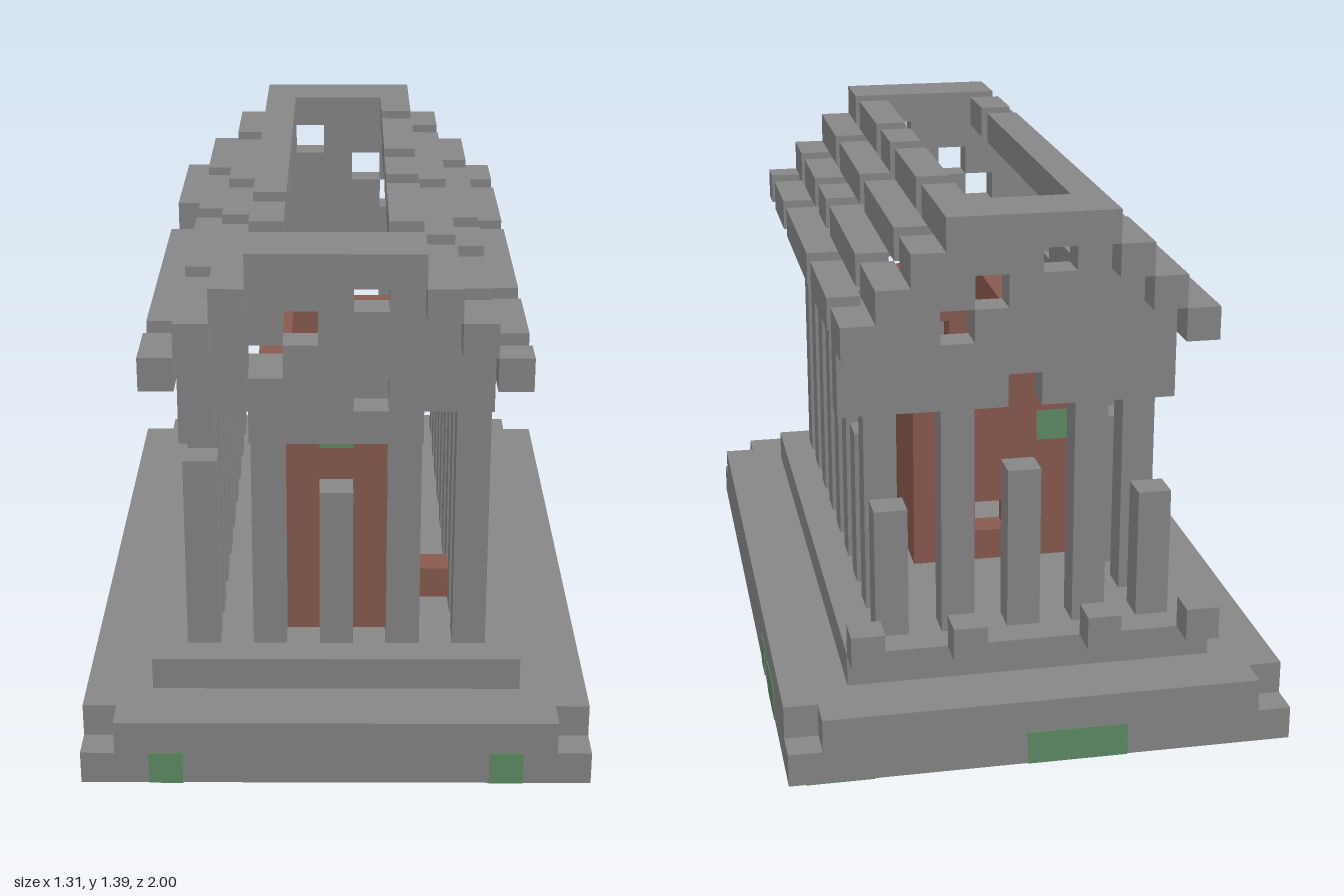
import * as THREE from 'three';
import { mergeGeometries } from 'three/addons/utils/BufferGeometryUtils.js';

const U = 2 / 23; // edge of one block

const stone = new THREE.MeshStandardMaterial({ color: 0x868686 });
stone.name = 'grey stone';
const clay = new THREE.MeshStandardMaterial({ color: 0x885a4e });
clay.name = 'red clay';
const moss = new THREE.MeshStandardMaterial({ color: 0x5f8c63 });
moss.name = 'green moss';

// Box covering whole blocks; x and z indices are centred, y counts up from 0
function blocks(x0, x1, y0, y1, z0, z1) {
  const g = new THREE.BoxGeometry((x1 - x0 + 1) * U, (y1 - y0 + 1) * U, (z1 - z0 + 1) * U);
  return g.translate((x0 + x1) / 2 * U, (y0 + y1 + 1) / 2 * U, (z0 + z1) / 2 * U);
}
const block = (x, y, z) => blocks(x, x, y, y, z, z);

// Solid runs between the gaps of a range
function runs(from, to, gaps = []) {
  const out = [];
  let start = null;
  for (let i = from; i <= to + 1; i++) {
    const solid = i <= to && !gaps.includes(i);
    if (solid && start === null) start = i;
    if (!solid && start !== null) { out.push([start, i - 1]); start = null; }
  }
  return out;
}
const beamZ = (x, y, from, to, gaps) => runs(from, to, gaps).map(([a, b]) => blocks(x, x, y, y, a, b));
const beamX = (z, y, from, to, gaps) => runs(from, to, gaps).map(([a, b]) => blocks(a, b, y, y, z, z));

export function createModel() {
  const root = new THREE.Group();
  root.name = 'ruinedTemple';
  const add = (name, material, geometries) => {
    const mesh = new THREE.Mesh(mergeGeometries(geometries), material);
    mesh.name = name;
    root.add(mesh);
  };

  // Stepped base with chipped upper corners
  add('base', stone, [
    blocks(-7, 7, 0, 0, -11, 11),
    blocks(-6, 6, 1, 1, -11, 11),
    blocks(-7, -7, 1, 1, -10, 10),
    blocks(7, 7, 1, 1, -10, 10),
  ]);
  add('upperStep', stone, [blocks(-5, 5, 2, 2, -9, 9)]);

  // Columns around the edge, some broken (top block index)
  const broken = { '-4,8': 8, '0,8': 7, '0,-8': 7, '4,-8': 6, '-4,-8': 6, '4,0': 7, '4,-4': 7, '-4,-4': 7 };
  const columns = [];
  for (let z = -8; z <= 8; z += 2) {
    for (let x = -4; x <= 4; x += 2) {
      if (Math.abs(x) === 4 || Math.abs(z) === 8) {
        columns.push(blocks(x, x, 3, broken[`${x},${z}`] ?? 9, z, z));
      }
    }
  }
  add('columns', stone, columns);

  // Inner chamber walls, with mossy blocks and holes left out of the clay
  const mossy = [[0, 9, 7], [2, 5, 7], [2, 8, 5], [-2, 7, -3]];
  const holes = [[2, 4, 1], [0, 4, -3], ...mossy];
  const walls = [block(3, 3, 5)];
  for (let y = 3; y <= 9; y++) {
    const gaps = (test, axis) => holes.filter((h) => h[1] === y && test(h)).map((h) => h[axis]);
    for (const x of [-2, 2]) walls.push(...beamZ(x, y, -3, 7, gaps((h) => h[0] === x, 2)));
    walls.push(...beamX(-3, y, -1, 1, gaps((h) => h[2] === -3, 0)));
    const door = y < 8 ? [0] : [];
    walls.push(...beamX(7, y, -1, 1, [...door, ...gaps((h) => h[2] === 7, 0)]));
  }
  add('chamberWalls', clay, walls);
  add('chamberBenches', clay, [-1, 1].map((x) => blocks(x, x, 3, 3, 3, 5)));
  add('mossyBlocks', moss, mossy.map((p) => block(...p)));

  // Lintels on the columns
  add('lintels', stone, [
    ...beamZ(4, 10, -8, 8, [7, -6]),
    ...beamZ(4, 11, -8, 8, [7, 2, 1, -3]),
    ...beamZ(-4, 10, -8, 8, [7, -7]),
    ...beamZ(-4, 11, -8, 8, [7, 4, -3]),
    ...beamX(-8, 10, -3, 3, [0]),
    ...beamX(-8, 11, -3, 3),
    ...beamX(9, 10, -4, 2, [-3]),
    ...beamX(9, 11, -4, 4, [1]),
    ...beamX(8, 11, -3, 3),
    blocks(5, 5, 10, 11, -8, -8),
  ]);

  // Roof beams stepping up to the ridge, with missing blocks
  const roof = [
    [5, 12, [9, 5, -2, -7]], [-5, 12, [8, -2, -3, -4]],
    [4, 13, [8, 4, 1, -6]], [-4, 13, [6, 0, -5]],
    [3, 14, [6, 0, -7]], [-3, 14, [4, 0, -6]],
    [2, 15, [8, 3, 0, -5]], [-2, 15, [8, 5]],
  ];
  add('roofBeams', stone, roof.flatMap(([x, y, gaps]) => beamZ(x, y, -9, 10, gaps)));

  // Stepped gables closing both ends
  const gables = [];
  const frontGaps = { 12: [-2], 13: [-1], 14: [1] };
  const backGaps = { 12: [2], 13: [1], 14: [-1] };
  for (let y = 12; y <= 14; y++) {
    const half = 16 - y;
    gables.push(...beamX(9, y, -half, half, frontGaps[y]), ...beamX(-8, y, -half, half, backGaps[y]));
  }
  gables.push(blocks(-1, 1, 15, 15, 9, 10), blocks(-1, 1, 15, 15, -9, -8));
  add('gables', stone, gables);

  // Fallen blocks along the back
  add('rubble', stone, [-5, -2, 2, 5].map((x) => block(x, 3, -10)));

  // Thin moss plates on the base sides: x range, z range, face axis
  const T = 0.004;
  const plate = (x0, x1, z0, z1, dx, dz) => {
    const w = dx ? T : (x1 - x0 + 1) * U;
    const d = dz ? T : (z1 - z0 + 1) * U;
    return new THREE.BoxGeometry(w, U, d).translate(
      dx ? dx * 7.5 * U : (x0 + x1) / 2 * U, U / 2, dz ? dz * 11.5 * U : (z0 + z1) / 2 * U);
  };
  add('sideMoss', moss, [
    plate(-5, -5, 0, 0, 0, 1), plate(5, 5, 0, 0, 0, 1),
    plate(-2, 0, 0, 0, 0, -1),
    plate(0, 0, -4, -4, 1, 0), plate(0, 0, -7, -6, 1, 0),
    plate(0, 0, 3, 3, -1, 0), plate(0, 0, 7, 7, -1, 0),
  ]);

  // Moss patches underneath: x, z, width, depth
  const patches = [
    [-2, -8, 3, 2], [-5, -8, 1, 2], [1, -4, 2, 2], [-2, -5, 2, 1], [6, -11, 2, 1], [5, -5, 1, 1],
    [7, -6.5, 1, 2], [7, -4, 1, 1], [3, 1, 2, 1], [-1, 0, 1, 2], [0, 6, 2, 2], [2, 3, 1, 2], [6, 2, 1, 1],
    [6, 5, 1, 1], [-5, -2, 1, 1], [-5, 4, 1, 1], [-3, 8, 1, 1], [5, 11, 1, 1], [-5, 11, 1, 1],
    [-1, -11, 3, 1], [-7, 3, 1, 1], [-7, 7, 1, 1], [3, -2, 1, 1], [-1, 4, 1, 1], [1, 8, 1, 1],
  ];
  add('undersideMoss', moss, patches.map(([x, z, w, d]) =>
    new THREE.BoxGeometry(w * U, T, d * U).translate(x * U, 0, z * U)));

  return root;
}
